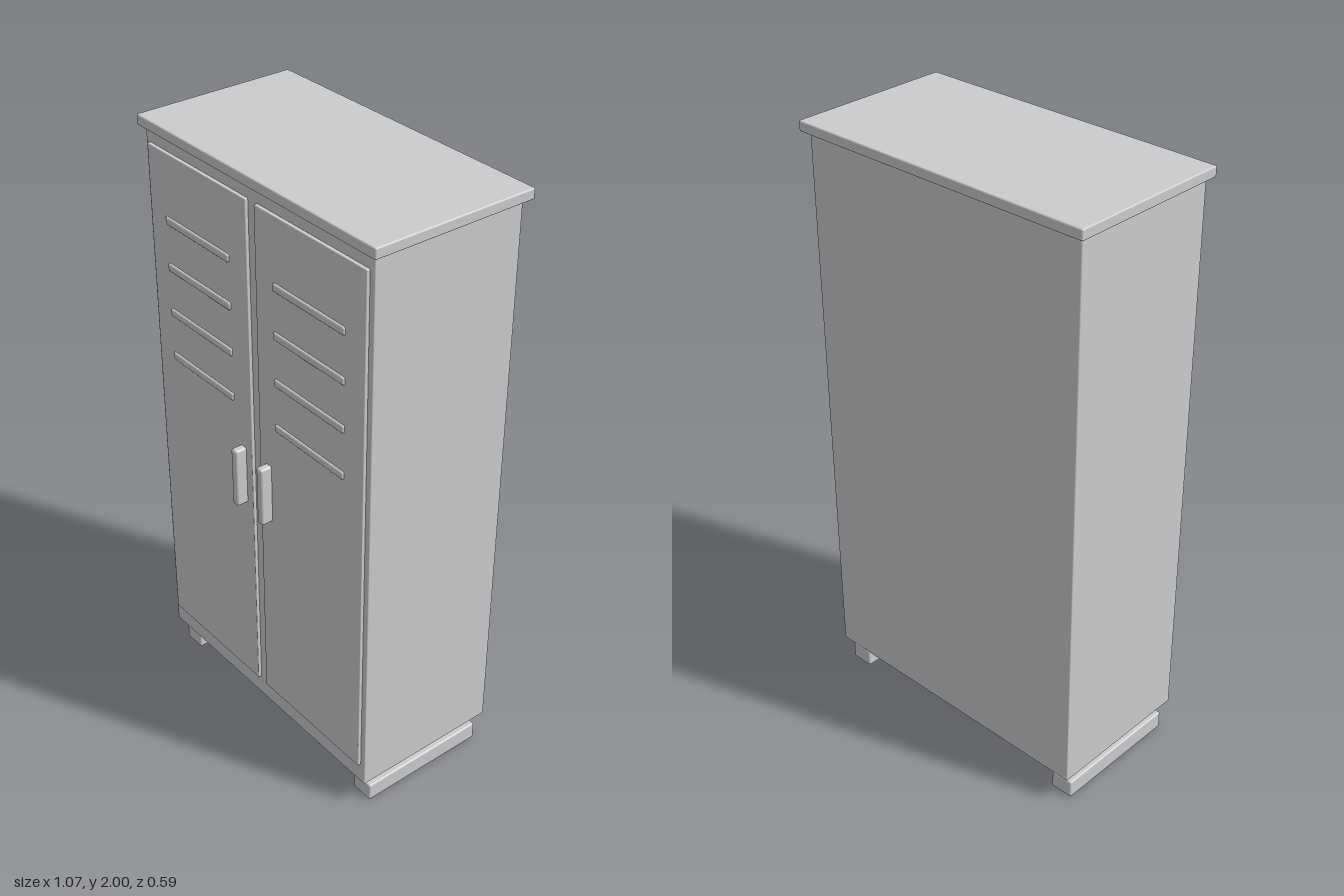
import * as THREE from 'three';
import { RoundedBoxGeometry } from 'three/addons/geometries/RoundedBoxGeometry.js';

const paint = new THREE.MeshStandardMaterial({ color: 0xcccccc });
paint.name = 'light grey paint';

// Softly edged box given by its extents on each axis
function slab(name, [x0, x1], [y0, y1], [z0, z1], radius) {
  const geometry = new RoundedBoxGeometry(x1 - x0, y1 - y0, z1 - z0, 2, radius);
  const mesh = new THREE.Mesh(geometry, paint);
  mesh.name = name;
  mesh.position.set((x0 + x1) / 2, (y0 + y1) / 2, (z0 + z1) / 2);
  return mesh;
}

export function createModel() {
  const cabinet = new THREE.Group();
  cabinet.name = 'cabinet';

  // Carcass and overhanging lid
  cabinet.add(slab('body', [-0.515, 0.515], [0.098, 1.968], [-0.27, 0.243], 0.004));
  cabinet.add(slab('lid', [-0.535, 0.535], [1.966, 2], [-0.293, 0.26], 0.005));

  for (const [side, s] of [['left', 1], ['right', -1]]) {
    const span = (a, b) => (s > 0 ? [a, b] : [-b, -a]);

    // Door with handle and vent ribs
    const door = new THREE.Group();
    door.name = `${side}Door`;
    door.add(slab('doorPanel', span(0.02, 0.496), [0.172, 1.922], [0.235, 0.254], 0.003));
    door.add(slab('handle', span(0.049, 0.077), [0.882, 1.087], [0.25, 0.293], 0.008));
    for (let i = 0; i < 4; i++) {
      const y = 1.707 - i * 0.155;
      door.add(slab('ventRib', span(0.103, 0.414), [y - 0.013, y + 0.013], [0.242, 0.261], 0.006));
    }
    cabinet.add(door);

    // Foot rail, set slightly below the carcass
    cabinet.add(slab(`${side}Foot`, span(0.427, 0.506), [0, 0.062], [-0.24, 0.212], 0.006));
  }
  return cabinet;
}
